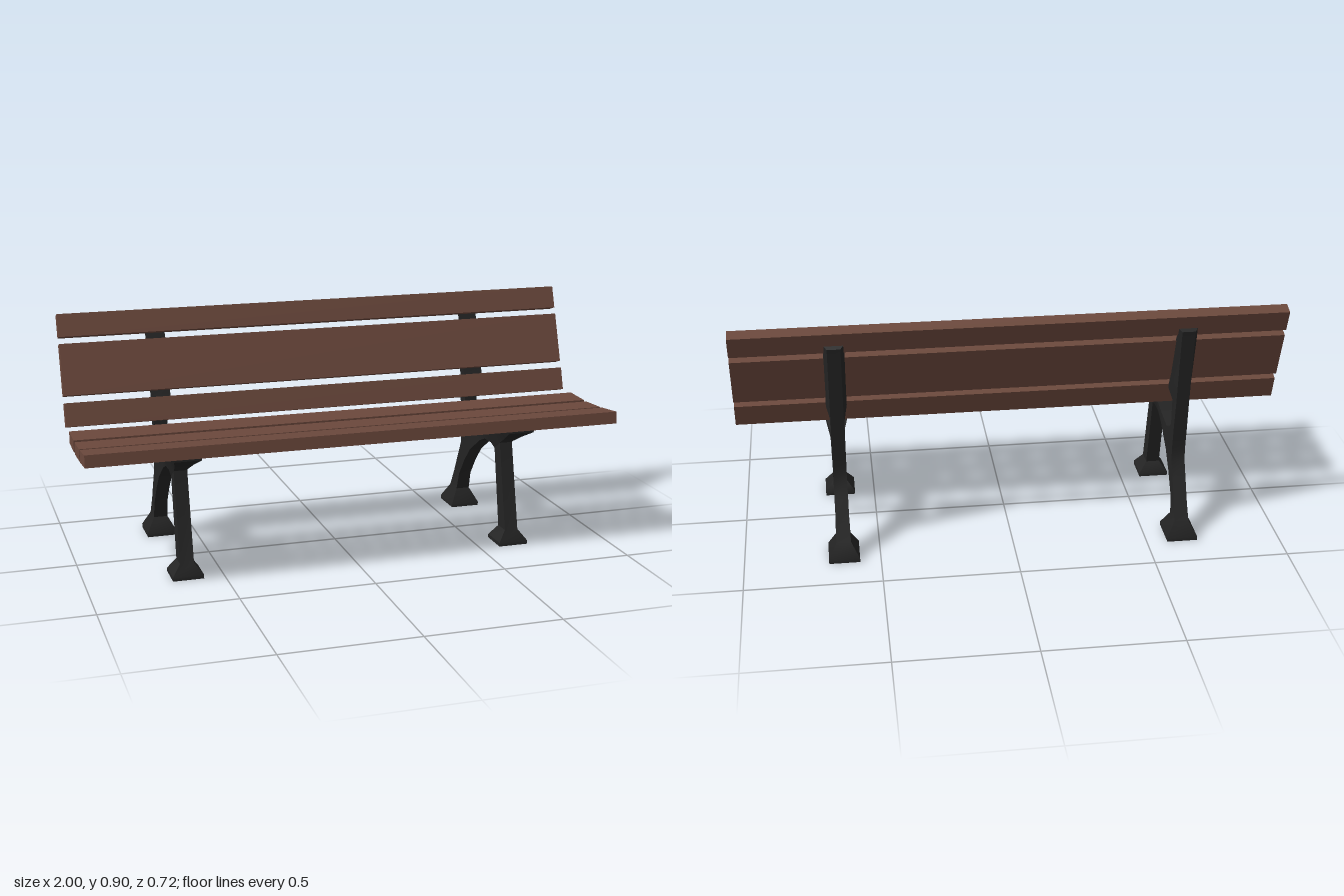
import * as THREE from 'three';
import { toCreasedNormals } from 'three/addons/utils/BufferGeometryUtils.js';

const wood = new THREE.MeshStandardMaterial({ color: 0x6b483c });
wood.name = 'brown wood';
const iron = new THREE.MeshStandardMaterial({ color: 0x242424 });
iron.name = 'black cast iron';

// Lofts four-cornered sections: [zA, yA, halfWidthA, zB, yB, halfWidthB]
function loft(stations) {
  const pos = [], index = [];
  for (const [za, ya, wa, zb, yb, wb] of stations) {
    pos.push(wa, ya, za, wb, yb, zb, -wb, yb, zb, -wa, ya, za);
  }
  const last = (stations.length - 1) * 4;
  for (let i = 0; i < last; i += 4) {
    for (let j = 0; j < 4; j++) {
      const k = (j + 1) % 4;
      index.push(i + j, i + k, i + 4 + k, i + j, i + 4 + k, i + 4 + j);
    }
  }
  index.push(0, 2, 1, 0, 3, 2, last, last + 1, last + 2, last, last + 2, last + 3);
  const g = new THREE.BufferGeometry();
  g.setAttribute('position', new THREE.Float32BufferAttribute(pos, 3));
  g.setIndex(index);
  return toCreasedNormals(g, 0.55);
}

// Front leg with flared foot: A is the front edge, B the back edge
const frontLeg = loft([
  [0.27, 0, 0.057, 0.157, 0, 0.057],
  [0.27, 0.014, 0.057, 0.157, 0.014, 0.057],
  [0.245, 0.055, 0.026, 0.18, 0.055, 0.026],
  [0.175, 0.36, 0.025, 0.12, 0.35, 0.025],
  [0.165, 0.41, 0.025, 0.105, 0.41, 0.025],
]);

// Seat support and arm, front to back: A is the top edge, B the underside
const seatSupport = loft([
  [0.31, 0.472, 0.054, 0.31, 0.457, 0.05],
  [0.24, 0.466, 0.055, 0.24, 0.422, 0.034],
  [0.18, 0.463, 0.055, 0.18, 0.39, 0.025],
  [0.12, 0.46, 0.055, 0.12, 0.35, 0.025],
  [0.08, 0.458, 0.054, 0.08, 0.362, 0.025],
  [0.0, 0.456, 0.05, 0.02, 0.36, 0.025],
  [-0.035, 0.39, 0.028, -0.03, 0.34, 0.025],
  [-0.125, 0.37, 0.025, -0.13, 0.275, 0.025],
  [-0.17, 0.36, 0.024, -0.17, 0.28, 0.024],
]);

// Rear leg running up into the backrest upright: A is front, B is back
const rearUpright = loft([
  [-0.23, 0, 0.057, -0.36, 0, 0.057],
  [-0.23, 0.014, 0.057, -0.36, 0.014, 0.057],
  [-0.26, 0.07, 0.027, -0.33, 0.07, 0.027],
  [-0.24, 0.14, 0.025, -0.295, 0.14, 0.025],
  [-0.19, 0.21, 0.025, -0.262, 0.21, 0.025],
  [-0.13, 0.275, 0.025, -0.23, 0.275, 0.025],
  [-0.125, 0.37, 0.025, -0.226, 0.32, 0.025],
  [-0.17, 0.388, 0.025, -0.232, 0.37, 0.025],
  [-0.192, 0.415, 0.025, -0.237, 0.415, 0.025],
  [-0.197, 0.515, 0.026, -0.249, 0.515, 0.024],
  [-0.172, 0.555, 0.038, -0.254, 0.555, 0.024],
  [-0.192, 0.61, 0.038, -0.26, 0.61, 0.024],
  [-0.252, 0.785, 0.038, -0.28, 0.785, 0.024],
  [-0.27, 0.835, 0.036, -0.286, 0.825, 0.024],
]);

// Slats: name, z, y, height, depth, tilt about x
const slats = [
  ['seatSlatFront', 0.30, 0.495, 0.045, 0.12, -0.115],
  ['seatSlatMiddle', 0.163, 0.483, 0.044, 0.12, -0.06],
  ['seatSlatBack', 0.022, 0.481, 0.045, 0.118, 0.02],
  ['backSlatLower', -0.144, 0.537, 0.088, 0.045, -0.3],
  ['backSlatMiddle', -0.2, 0.695, 0.193, 0.045, -0.33],
  ['backSlatTop', -0.255, 0.851, 0.086, 0.045, -0.33],
];

export function createModel() {
  const bench = new THREE.Group();
  bench.name = 'bench';

  for (const [name, z, y, h, d, tilt] of slats) {
    const slat = new THREE.Mesh(new THREE.BoxGeometry(2, h, d), wood);
    slat.name = name;
    slat.position.set(0, y, z);
    slat.rotation.x = tilt;
    bench.add(slat);
  }

  // Two matching iron frames
  for (const [side, x] of [['left', 0.634], ['right', -0.634]]) {
    const frame = new THREE.Group();
    frame.name = side + 'Frame';
    frame.position.x = x;
    for (const [name, geometry] of Object.entries({ frontLeg, seatSupport, rearUpright })) {
      const mesh = new THREE.Mesh(geometry, iron);
      mesh.name = name;
      frame.add(mesh);
    }
    bench.add(frame);
  }
  return bench;
}
